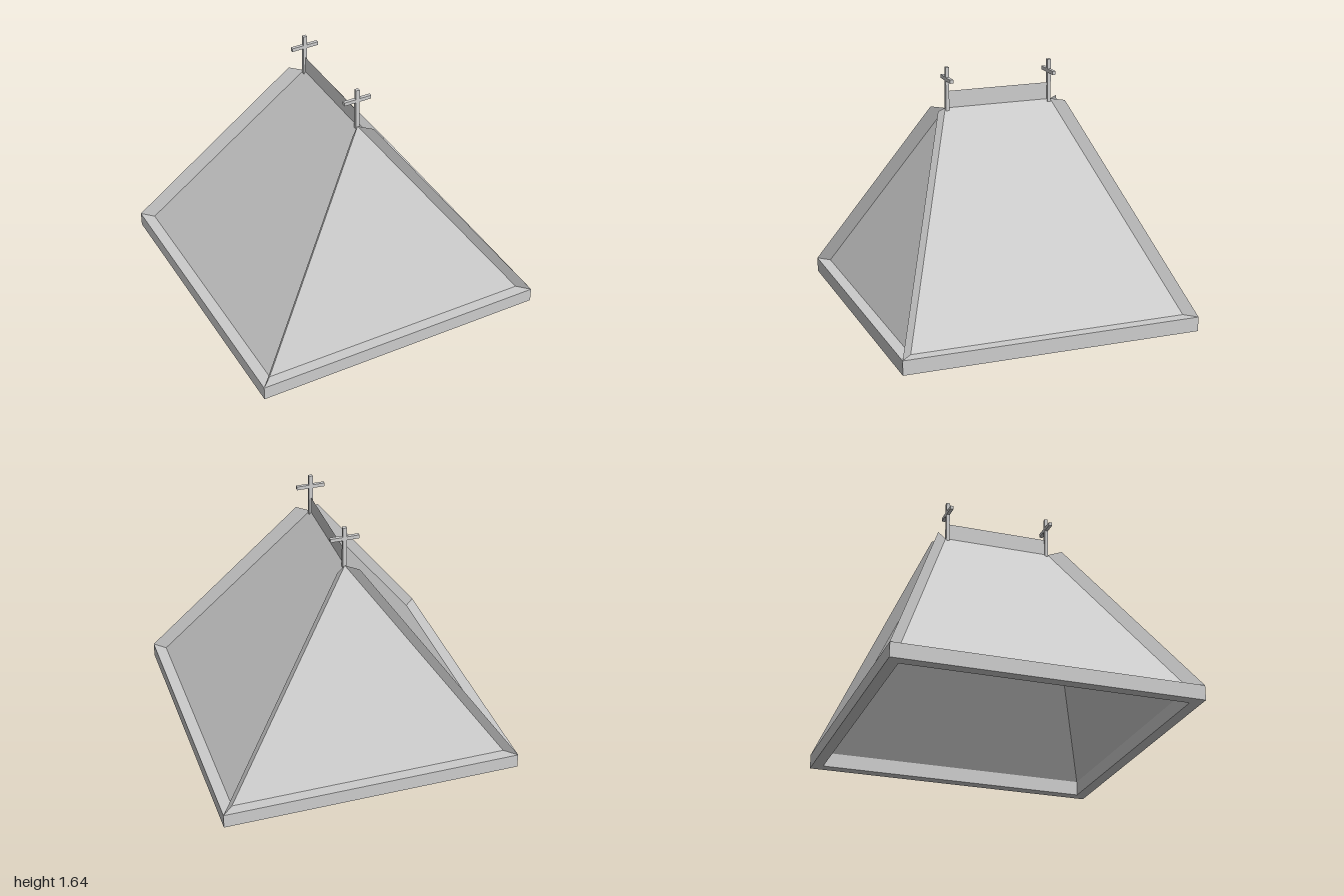
import * as THREE from 'three';

const BASE_H = 0.097, RIDGE_Y = 1.375;
const INNER = 0.925, RIDGE_Z = 0.368, FIN = 0.075;

const solid = new THREE.MeshStandardMaterial({ color: 0xcccccc, flatShading: true });
const sheet = new THREE.MeshStandardMaterial({ color: 0xcccccc, flatShading: true, side: THREE.DoubleSide });

function addMesh(parent, name, geometry, material = solid) {
  const mesh = new THREE.Mesh(geometry, material);
  mesh.name = name;
  parent.add(mesh);
  return mesh;
}

function addBox(parent, name, w, h, d, x, y, z) {
  addMesh(parent, name, new THREE.BoxGeometry(w, h, d)).position.set(x, y, z);
}

// Flat convex panel from its corners, counter-clockwise seen from outside
function panel(...corners) {
  const points = [];
  for (let i = 1; i < corners.length - 1; i++) {
    points.push(...corners[0], ...corners[i], ...corners[i + 1]);
  }
  const geometry = new THREE.BufferGeometry();
  geometry.setAttribute('position', new THREE.Float32BufferAttribute(points, 3));
  geometry.computeVertexNormals();
  return geometry;
}

function square(path, r) {
  path.moveTo(-r, -r);
  path.lineTo(r, -r);
  path.lineTo(r, r);
  path.lineTo(-r, r);
  path.closePath();
  return path;
}

function createCross(name, z) {
  const cross = new THREE.Group();
  cross.name = name;
  addBox(cross, 'crossPost', 0.026, 0.287, 0.023, 0, 1.5015, 0);
  addBox(cross, 'crossBar', 0.19, 0.024, 0.0225, 0, 1.568, 0);
  cross.position.z = z;
  return cross;
}

export function createModel() {
  const model = new THREE.Group();
  model.name = 'hippedRoof';

  // Square eaves frame, open in the middle
  const outline = square(new THREE.Shape(), 1);
  outline.holes.push(square(new THREE.Path(), INNER));
  const frame = new THREE.ExtrudeGeometry(outline, { depth: BASE_H, bevelEnabled: false });
  frame.rotateX(-Math.PI / 2);
  addMesh(model, 'eavesFrame', frame);

  // Roof slopes, hollow underneath
  const roof = new THREE.Group();
  roof.name = 'roof';
  model.add(roof);
  for (const s of [1, -1]) {
    const end = s > 0 ? 'front' : 'back', side = s > 0 ? 'left' : 'right';
    addMesh(roof, end + 'Slope', panel(
      [-s * INNER, BASE_H, s * INNER], [s * INNER, BASE_H, s * INNER], [0, RIDGE_Y, s * RIDGE_Z]), sheet);
    addMesh(roof, side + 'Slope', panel(
      [s * INNER, BASE_H, s * INNER], [s * INNER, BASE_H, -s * INNER],
      [0, RIDGE_Y, -s * RIDGE_Z], [0, RIDGE_Y, s * RIDGE_Z]), sheet);
  }

  // Thin fins standing out along the four hips
  for (const sx of [1, -1]) {
    for (const sz of [1, -1]) {
      const name = (sz > 0 ? 'front' : 'back') + (sx > 0 ? 'Left' : 'Right') + 'HipFin';
      addMesh(roof, name, panel(
        [sx * INNER, BASE_H, sz * INNER], [sx, BASE_H, sz],
        [sx * FIN, RIDGE_Y, sz * (RIDGE_Z + FIN)], [0, RIDGE_Y, sz * RIDGE_Z]), sheet);
    }
  }

  // Upright ridge sheet between the crosses
  const z = 0.356;
  addMesh(model, 'ridgeFin', panel(
    [0, RIDGE_Y, z], [0, RIDGE_Y, -z], [0, 1.487, -z], [0, 1.487, z]), sheet);

  // Cross at each end of the ridge
  model.add(createCross('frontCross', z), createCross('backCross', -z));

  return model;
}
